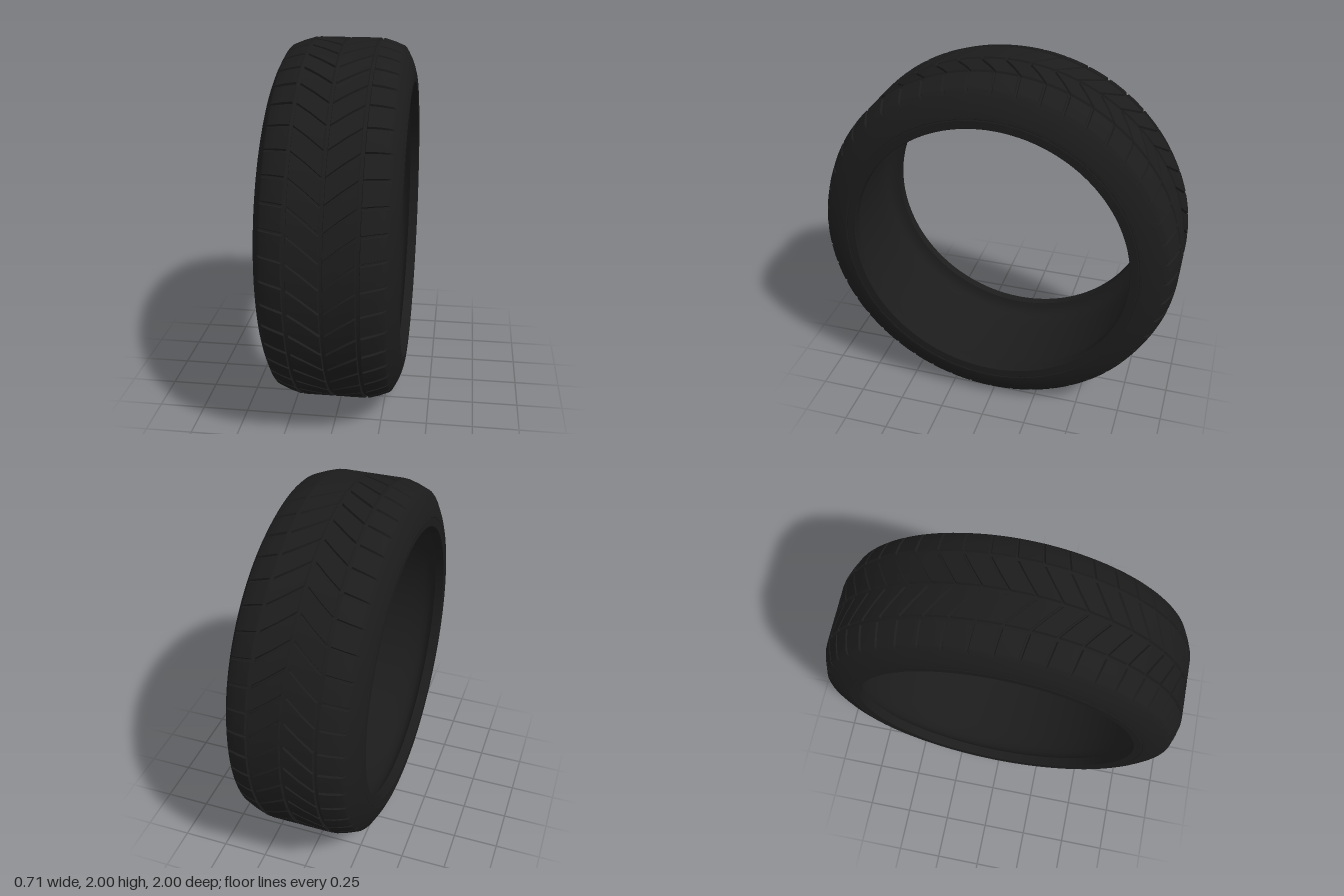
import * as THREE from 'three';
import { toCreasedNormals } from 'three/addons/utils/BufferGeometryUtils.js';

const PITCHES = 48; // tread blocks around the tyre
const GROOVE = 0.015;
// rows within one pitch: [fraction of pitch, share of cross-groove depth]
const ROWS = [[0, 0], [0.03, 1], [0.1, 1], [0.14, 0], [0.42, 0], [0.71, 0]];

// Half profiles: [x, radius, cross-groove depth, backward lean of the chevron in radians]
const TREAD = [
  [0, 1 - GROOVE, 0, 0], [0.008, 1 - GROOVE, 0, 0.005],
  [0.012, 1, 0.012, 0.008], [0.09, 1, 0.012, 0.072], [0.163, 1, 0.012, 0.126],
  [0.167, 1 - GROOVE, 0, 0.128], [0.183, 1 - GROOVE, 0, 0.132],
  [0.187, 0.998, 0.012, 0.133], [0.24, 0.982, 0.012, 0.141],
  [0.295, 0.96, 0.01, 0.148], [0.302, 0.953, 0.006, 0.15], [0.315, 0.93, 0, 0.15],
];
const side = (list) => list.map(([x, r]) => [x, r, 0, 0.15]);
const SIDEWALL = side([
  [0.315, 0.93], [0.332, 0.897], [0.345, 0.864], [0.353, 0.835], [0.357, 0.818],
  [0.355, 0.816], [0.355, 0.812], [0.357, 0.81], [0.357, 0.768], [0.354, 0.765],
]);
const BEAD = side([[0.354, 0.765], [0.305, 0.765]]);
// Inner wall curving from the bead out to the back of the tread
const LINER = side([
  [0.305, 0.765], [0.301, 0.785], [0.293, 0.808], [0.278, 0.828],
  [0.255, 0.841], [0.22, 0.847], [0.15, 0.85], [0, 0.85],
]);

const mirror = (profile) => profile.map(([x, ...rest]) => [-x, ...rest]).reverse();

// Sweep a profile around the x axis, shearing it so that the rows follow the chevrons
function sweep(profile) {
  const positions = [], index = [];
  const rowCount = PITCHES * ROWS.length;
  for (let j = 0; j < rowCount; j++) {
    const [fraction, share] = ROWS[j % ROWS.length];
    const base = ((Math.floor(j / ROWS.length) + fraction) / PITCHES) * Math.PI * 2;
    for (const [x, radius, depth, lean] of profile) {
      const r = radius - depth * share;
      const a = base - lean;
      positions.push(x, r * Math.cos(a), r * Math.sin(a));
    }
  }
  const n = profile.length;
  for (let j = 0; j < rowCount; j++) {
    const next = (j + 1) % rowCount;
    for (let i = 0; i < n - 1; i++) {
      const a = j * n + i, b = next * n + i;
      index.push(a, b, a + 1, b, b + 1, a + 1);
    }
  }
  const geometry = new THREE.BufferGeometry();
  geometry.setAttribute('position', new THREE.Float32BufferAttribute(positions, 3));
  geometry.setIndex(index);
  return toCreasedNormals(geometry, 0.5);
}

export function createModel() {
  const rubber = new THREE.MeshStandardMaterial({ color: 0x1c1c1c });
  rubber.name = 'black rubber';

  const tyre = new THREE.Group();
  tyre.name = 'tyre';
  const add = (name, profile) => {
    const mesh = new THREE.Mesh(sweep(profile), rubber);
    mesh.name = name;
    mesh.position.y = 1;
    tyre.add(mesh);
  };

  // Grooved running surface, both halves joined at the centre groove
  add('tread', [...mirror(TREAD), ...TREAD.slice(1)]);
  // Smooth sides and the lips that grip the wheel
  add('leftSidewall', SIDEWALL);
  add('rightSidewall', mirror(SIDEWALL));
  add('leftBead', BEAD);
  add('rightBead', mirror(BEAD));
  // Inner surface
  add('innerLiner', [...LINER, ...mirror(LINER).slice(1)]);

  return tyre;
}
